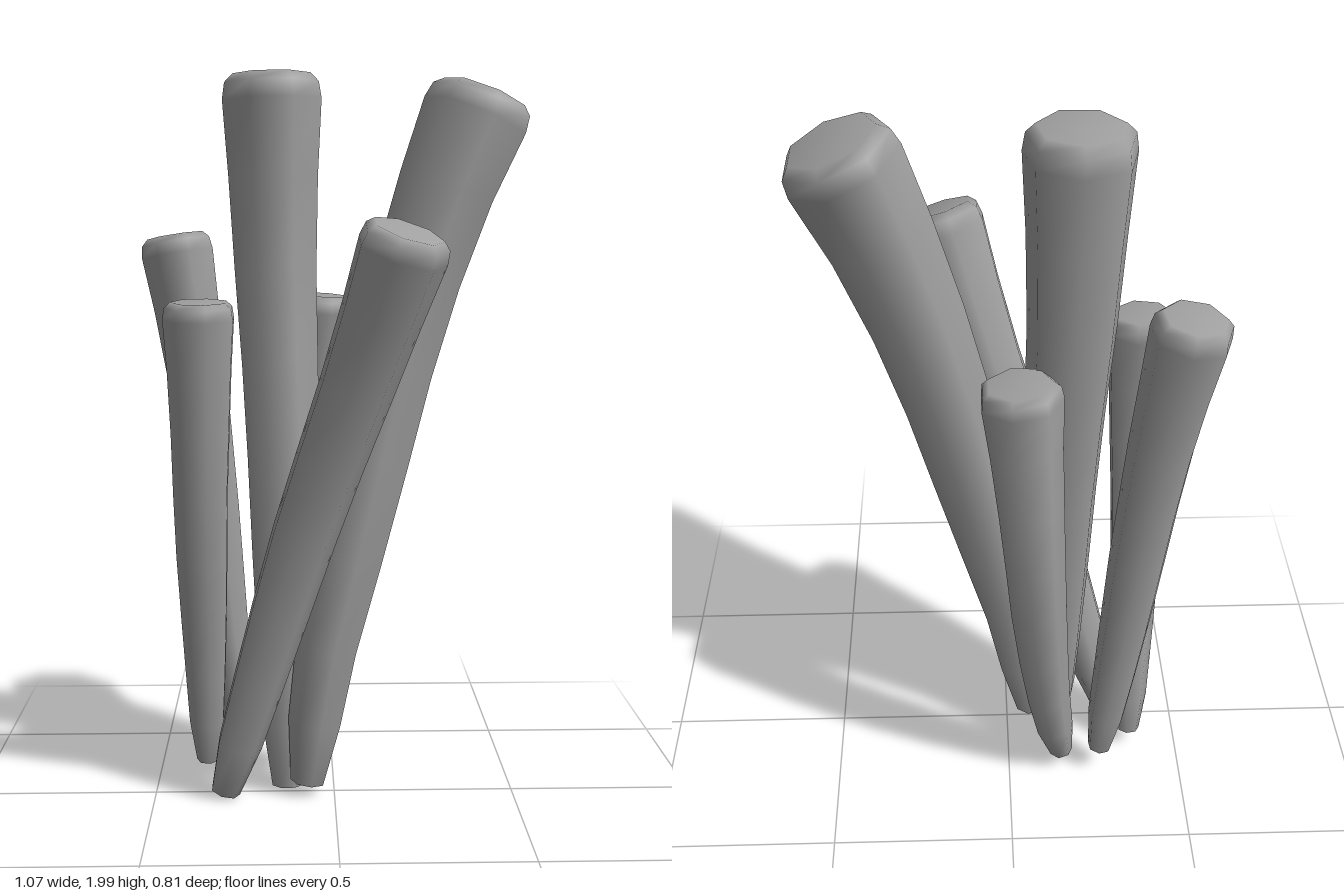
import * as THREE from 'three';

const SIDES = 7;

// Each stalk: centre line from foot to tip, base and tip radius, turn of the heptagon (degrees)
const STALKS = [
  { name: 'tallStalk', foot: 0.045, tip: 0.14, turn: -90,
    path: [[-0.13, 0.01, -0.045], [-0.135, 0.5, -0.085], [-0.14, 1.0, -0.13], [-0.16, 1.5, -0.175], [-0.168, 1.998, -0.185]] },
  { name: 'leaningTallStalk', foot: 0.048, tip: 0.152, turn: -25,
    path: [[-0.075, 0.04, 0.015], [-0.025, 0.4, 0.01], [0.068, 0.8, -0.01], [0.162, 1.2, -0.045], [0.28, 1.6, -0.08], [0.415, 1.94, -0.11]] },
  { name: 'frontLeaningStalk', foot: 0.042, tip: 0.122, turn: 0,
    path: [[-0.305, 0.02, 0.03], [-0.195, 0.4, 0.072], [-0.075, 0.8, 0.122], [0.06, 1.2, 0.202], [0.178, 1.575, 0.3]] },
  { name: 'leftBackStalk', foot: 0.034, tip: 0.105, turn: -85,
    path: [[-0.265, 0.085, -0.22], [-0.308, 0.45, -0.228], [-0.35, 0.85, -0.242], [-0.39, 1.2, -0.265], [-0.445, 1.555, -0.29]] },
  { name: 'backStalk', foot: 0.034, tip: 0.108, turn: -26,
    path: [[-0.153, 0.06, -0.205], [-0.118, 0.25, -0.235], [-0.08, 0.6, -0.28], [-0.055, 0.95, -0.31], [-0.022, 1.385, -0.3]] },
  { name: 'leftFrontStalk', foot: 0.032, tip: 0.1, turn: 180,
    path: [[-0.36, 0.06, -0.12], [-0.36, 0.4, -0.068], [-0.363, 0.8, 0], [-0.36, 1.05, 0.028], [-0.36, 1.385, 0.048]] },
];

// Stations along a stalk: [fraction of length, radius as blend from foot (0) to tip (1)]
const PROFILE = [[0, 0], [0.09, 0.27], [0.2, 0.39], [0.33, 0.51], [0.47, 0.61], [0.6, 0.67],
  [0.73, 0.75], [0.86, 0.86], [0.965, 1]];

function stalkGeometry({ path, foot, tip, turn }) {
  const curve = new THREE.CatmullRomCurve3(path.map((p) => new THREE.Vector3(...p)));
  const positions = [];
  const index = [];

  // Ring square to the centre line
  const addRing = (t, radius) => {
    const centre = curve.getPointAt(t);
    const up = curve.getTangentAt(t);
    const side = new THREE.Vector3(1, 0, 0).addScaledVector(up, -up.x).normalize();
    const front = new THREE.Vector3().crossVectors(side, up);
    for (let i = 0; i < SIDES; i++) {
      const a = THREE.MathUtils.degToRad(turn) + (i / SIDES) * Math.PI * 2;
      const p = centre.clone()
        .addScaledVector(side, Math.cos(a) * radius)
        .addScaledVector(front, Math.sin(a) * radius);
      positions.push(p.x, p.y, p.z);
    }
  };

  PROFILE.forEach(([t, k]) => addRing(t, foot + (tip - foot) * k));
  // Rounded rim
  addRing(0.988, tip * 0.95);
  addRing(1, tip * 0.78);
  const rings = PROFILE.length + 2;

  for (let r = 0; r < rings - 1; r++) {
    for (let i = 0; i < SIDES; i++) {
      const j = (i + 1) % SIDES;
      const a = r * SIDES + i, b = r * SIDES + j;
      index.push(a, a + SIDES, b, b, a + SIDES, b + SIDES);
    }
  }

  // Foot cap and slightly dished tip cap, blended smoothly into the sides
  const bottom = rings * SIDES;
  const top = bottom + 1;
  const end = curve.getPointAt(1).addScaledVector(curve.getTangentAt(1), -0.008);
  positions.push(...curve.getPointAt(0).toArray(), ...end.toArray());
  for (let i = 0; i < SIDES; i++) {
    const j = (i + 1) % SIDES;
    const last = (rings - 1) * SIDES;
    index.push(bottom, i, j, top, last + j, last + i);
  }

  const geometry = new THREE.BufferGeometry();
  geometry.setAttribute('position', new THREE.Float32BufferAttribute(positions, 3));
  geometry.setIndex(index);
  geometry.computeVertexNormals();
  return geometry;
}

export function createModel() {
  const group = new THREE.Group();
  group.name = 'stalkCluster';
  const material = new THREE.MeshStandardMaterial({ color: 0xa0a0a0 });
  for (const stalk of STALKS) {
    const mesh = new THREE.Mesh(stalkGeometry(stalk), material);
    mesh.name = stalk.name;
    group.add(mesh);
  }
  return group;
}
